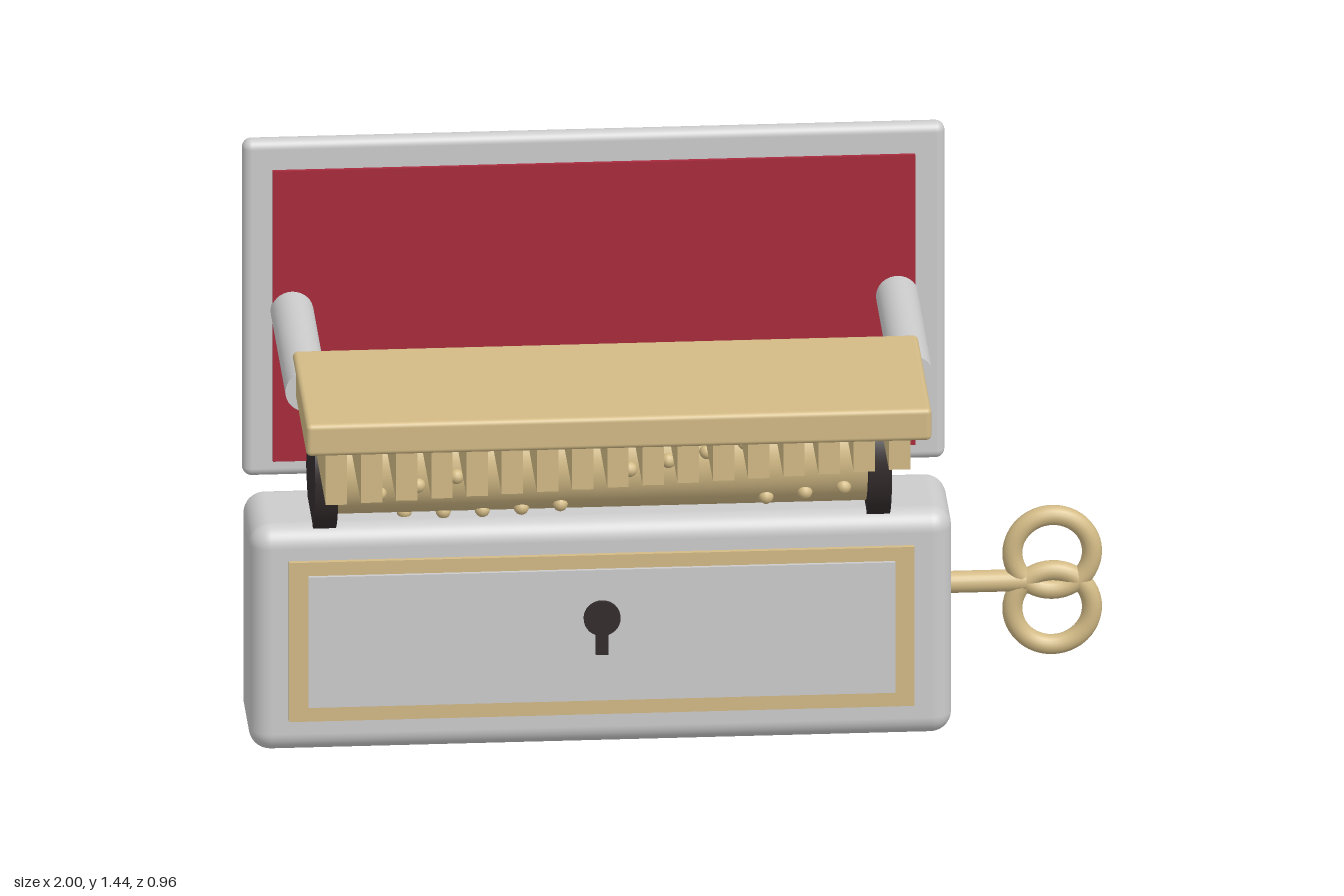
import * as THREE from 'three';
import { RoundedBoxGeometry } from 'three/addons/geometries/RoundedBoxGeometry.js';

const material = (name, color) => {
  const m = new THREE.MeshStandardMaterial({ color });
  m.name = name;
  return m;
};

export function createModel() {
  const silver = material('silver', 0xcccccd);
  const brass = material('brass', 0xd3bb86);
  const black = material('black', 0x342c2d);
  const red = material('red lining', 0xa82a3c);

  const model = new THREE.Group();
  model.name = 'musicBox';
  const MID = -0.18; // centre line of the case

  const add = (name, geometry, mat, x, y, z, parent = model) => {
    const mesh = new THREE.Mesh(geometry, mat);
    mesh.name = name;
    mesh.position.set(x, y, z);
    parent.add(mesh);
    return mesh;
  };
  const group = (name) => {
    const g = new THREE.Group();
    g.name = name;
    model.add(g);
    return g;
  };
  const box = (w, h, d) => new THREE.BoxGeometry(w, h, d);
  const rodX = (r, length, sides = 48) => new THREE.CylinderGeometry(r, r, length, sides).rotateZ(Math.PI / 2);

  // Case and upright lid
  add('case', new RoundedBoxGeometry(1.64, 0.565, 0.28, 5, 0.05), silver, MID, 0.2825, -0.26);
  add('lid', new RoundedBoxGeometry(1.64, 0.845, 0.046, 4, 0.022), silver, MID, 1.0165, -0.398);
  add('lidLining', box(1.5, 0.73, 0.012), red, MID, 1.002, -0.371);

  // Front panel: brass border, silver plate, keyhole
  add('panelBorder', box(1.46, 0.4, 0.012), brass, MID, 0.286, -0.114);
  add('panelPlate', box(1.37, 0.328, 0.009), silver, MID, 0.288, -0.1035);
  const keyhole = group('keyhole');
  add('keyholeRound', new THREE.CylinderGeometry(0.043, 0.043, 0.01, 32).rotateX(Math.PI / 2), black, MID, 0.333, -0.094, keyhole);
  add('keyholeSlot', box(0.03, 0.09, 0.009), black, MID, 0.287, -0.0945, keyhole);

  // Drum with end discs
  const drumY = 0.698, drumZ = -0.225, drumR = 0.128;
  const drum = group('drum');
  add('drumBarrel', rodX(drumR, 1.25), brass, MID, drumY, drumZ, drum);
  for (const x of [-0.825, 0.468]) add('drumDisc', rodX(0.163, 0.054), black, x, drumY, drumZ, drum);

  // Spiral rows of pins: start x, count, start angle above the front, step
  const pinRows = [
    [-0.7, 3, -18, 9], [-0.43, 6, 52, 7.6], [-0.115, 6, 3, 8.4],
    [-0.635, 5, -77, 8], [0.205, 3, -40, 7], [-0.2, 6, 140, 8],
  ];
  const pin = new THREE.SphereGeometry(0.018, 12, 8);
  for (const [x0, count, start, step] of pinRows) {
    for (let i = 0; i < count; i++) {
      const a = THREE.MathUtils.degToRad(start + i * step);
      add('drumPin', pin, brass, x0 + i * 0.09, drumY + Math.sin(a) * drumR, drumZ + Math.cos(a) * drumR, drum);
    }
  }

  // Comb with teeth that shorten toward the key side
  const comb = group('comb');
  add('combPlate', new RoundedBoxGeometry(1.46, 0.08, 0.467, 3, 0.012), brass, MID, 1.031, 0.245, comb);
  const teeth = 17;
  for (let i = 0; i < teeth; i++) {
    const t = i / (teeth - 1);
    const bottom = 0.853 + 0.052 * t;
    add('combTooth', box(0.05, 1 - bottom, 0.376), brass, -0.837 + 1.315 * t, (1 + bottom) / 2, 0.249, comb);
  }

  // Arms running from the comb through the lid
  for (const x of [-0.885, 0.528]) {
    add('combArm', new THREE.CylinderGeometry(0.05, 0.05, 0.61, 32).rotateX(Math.PI / 2), silver, x, 1.014, -0.175);
  }

  // Winding key
  const key = group('windingKey');
  add('keyShaft', rodX(0.026, 0.22, 24), brass, 0.71, 0.335, -0.256, key);
  for (const y of [0.404, 0.265]) {
    add('keyRing', new THREE.TorusGeometry(0.093, 0.0235, 16, 48), brass, 0.882, y, -0.256, key);
  }

  return model;
}
